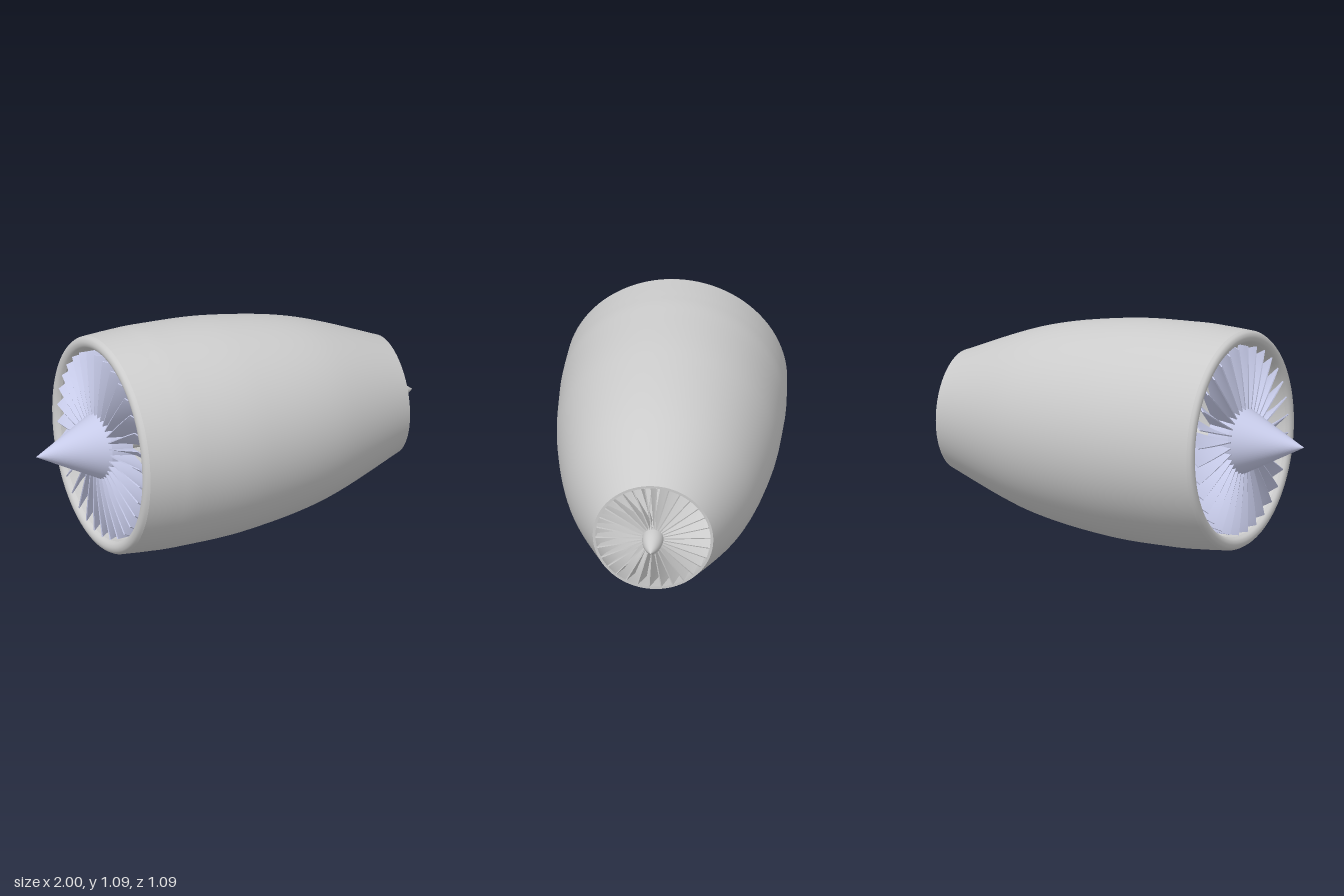
import * as THREE from 'three';

const AXIS_Y = 0.543;
const grey = new THREE.MeshStandardMaterial({ color: 0xcccccc });
const fanBlue = new THREE.MeshStandardMaterial({ color: 0xc6cae8 });

// Surface of revolution about the x axis; points are [x, radius]
function revolve(name, points, material, segments = 96) {
  const geometry = new THREE.LatheGeometry(points.map(([x, r]) => new THREE.Vector2(r, x)), segments);
  geometry.rotateZ(-Math.PI / 2);
  const mesh = new THREE.Mesh(geometry, material);
  mesh.name = name;
  return mesh;
}

// Smooth curve through a few [x, radius] points
function smooth(points, count) {
  const curve = new THREE.SplineCurve(points.map(([x, r]) => new THREE.Vector2(x, r)));
  return curve.getPoints(count).map((p) => [p.x, p.y]);
}

// Twisted blade standing on the axis: nearly axial at the root, pitched at the tip
function bladeGeometry({ inner, outer, chordRoot, chordTip, thickness, pitchRoot, pitchTip }) {
  const geometry = new THREE.BoxGeometry(1, 1, thickness, 2, 8, 1);
  const pos = geometry.attributes.position;
  for (let i = 0; i < pos.count; i++) {
    const t = pos.getY(i) + 0.5;
    const x = pos.getX(i) * THREE.MathUtils.lerp(chordRoot, chordTip, t);
    const z = pos.getZ(i);
    const pitch = THREE.MathUtils.lerp(pitchRoot, pitchTip, t);
    pos.setXYZ(i,
      x * Math.cos(pitch) - z * Math.sin(pitch),
      THREE.MathUtils.lerp(inner, outer, t),
      x * Math.sin(pitch) + z * Math.cos(pitch));
  }
  geometry.computeVertexNormals();
  return geometry;
}

function bladeRing(name, x, count, material, options) {
  const ring = new THREE.Group();
  ring.name = name;
  ring.position.x = x;
  const geometry = bladeGeometry(options);
  for (let i = 0; i < count; i++) {
    const blade = new THREE.Mesh(geometry, material);
    blade.name = name + 'Blade';
    blade.rotation.x = (i / count) * Math.PI * 2;
    ring.add(blade);
  }
  return ring;
}

export function createModel() {
  const engine = new THREE.Group();
  engine.name = 'jetEngine';
  const body = new THREE.Group();
  body.name = 'engineBody';
  body.position.y = AXIS_Y;
  engine.add(body);

  // Nacelle: outer skin, rounded intake lip, inner duct and exhaust rim
  const skin = smooth([[-0.645, 0.531], [-0.5, 0.54], [-0.35, 0.543], [0, 0.526], [0.42, 0.45], [0.85, 0.29]], 48);
  const lip = smooth([[-0.645, 0.468], [-0.663, 0.48], [-0.67, 0.5], [-0.663, 0.52], [-0.645, 0.531]], 16);
  const duct = smooth([[0.85, 0.277], [0.42, 0.43], [0, 0.475], [-0.35, 0.475], [-0.645, 0.468]], 32);
  body.add(
    revolve('nacelleSkin', skin, grey),
    revolve('intakeLip', lip, grey),
    revolve('innerDuct', duct, grey),
    revolve('exhaustRim', [[0.85, 0.29], [0.85, 0.277]], grey),
  );

  // Front fan with its pointed spinner
  body.add(
    revolve('spinner', [[-1, 0], [-0.67, 0.163]], fanBlue, 64),
    revolve('spinnerHub', [[-0.67, 0.163], [-0.56, 0.163]], fanBlue, 64),
    revolve('spinnerBack', [[-0.56, 0.163], [-0.56, 0]], fanBlue, 64),
    bladeRing('fan', -0.62, 32, fanBlue, {
      inner: 0.14, outer: 0.455, chordRoot: 0.13, chordTip: 0.13,
      thickness: 0.006, pitchRoot: 0.1, pitchTip: 0.75,
    }),
  );

  // Rear turbine with its rounded tail cone, joined to the fan by a shaft
  const tail = smooth([[0.78, 0.05], [0.86, 0.051], [0.91, 0.045], [0.96, 0.027], [1, 0]], 24);
  body.add(
    bladeRing('turbine', 0.805, 30, grey, {
      inner: 0.03, outer: 0.276, chordRoot: 0.11, chordTip: 0.1,
      thickness: 0.006, pitchRoot: -0.08, pitchTip: -0.38,
    }),
    revolve('tailCone', tail, grey, 48),
    revolve('shaft', [[-0.56, 0.04], [0.78, 0.04]], grey, 32),
  );
  return engine;
}
